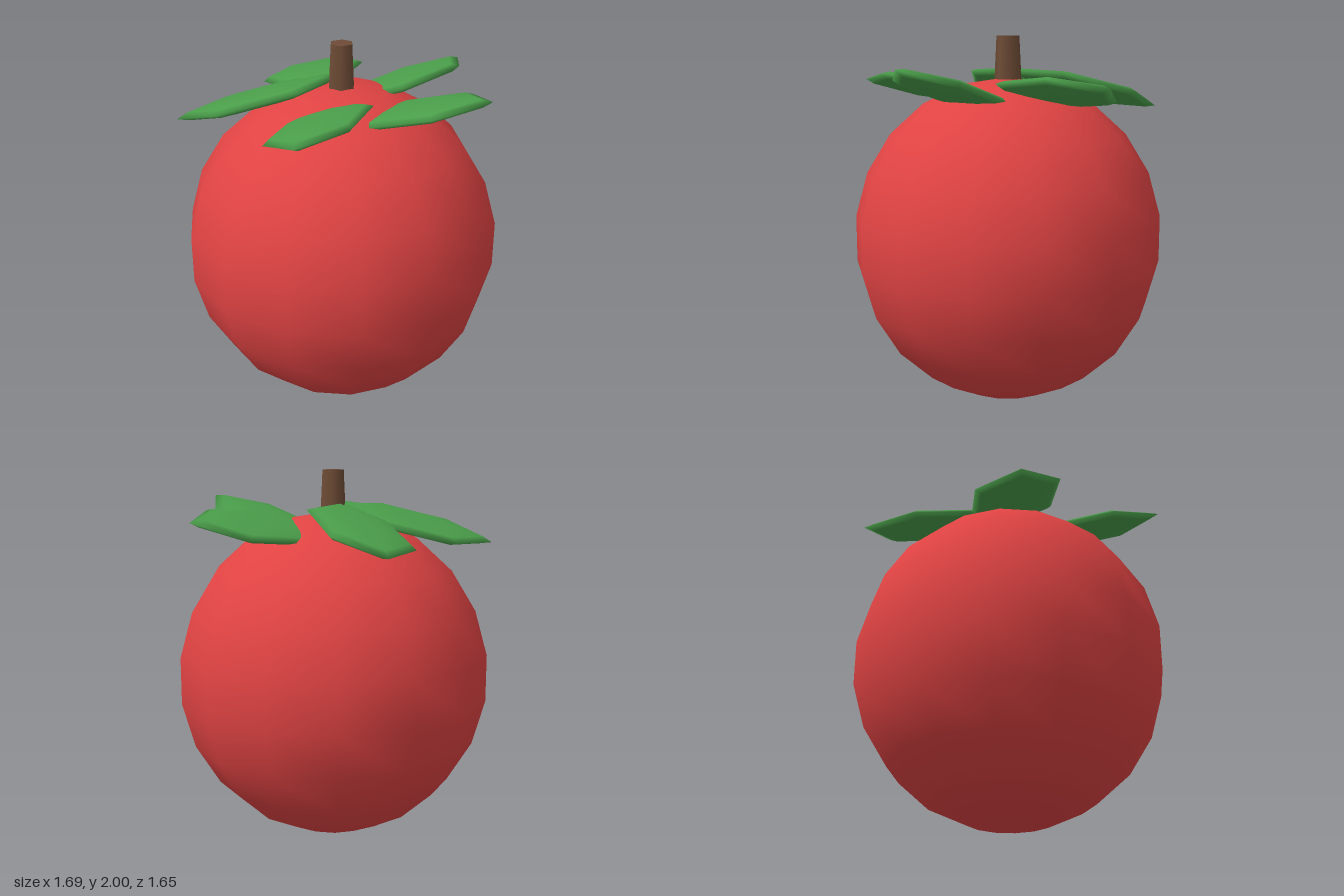
import * as THREE from 'three';

const CENTRE_X = -0.01;

function material(name, color) {
  const m = new THREE.MeshStandardMaterial({ color });
  m.name = name;
  return m;
}

export function createModel() {
  const group = new THREE.Group();
  group.name = 'fruit';
  const red = material('fruit red', 0xe04343);
  const green = material('leaf green', 0x4b9f4b);
  const brown = material('stem brown', 0x6e4c36);

  // Fruit body: smooth, slightly tall ball
  const body = new THREE.Mesh(new THREE.SphereGeometry(0.849, 14, 11), red);
  body.name = 'body';
  body.scale.set(1, 0.887 / 0.849, 0.98 / 0.98);
  body.position.set(CENTRE_X, 0.892, 0);
  group.add(body);

  // Tapered six-sided stem with corners on the x axis
  const stem = new THREE.Mesh(new THREE.CylinderGeometry(0.062, 0.077, 0.3, 6), brown);
  stem.name = 'stem';
  stem.rotation.y = Math.PI / 2;
  stem.position.set(CENTRE_X, 1.85, 0);
  group.add(stem);

  // Five flattened six-sided leaves in a ring, all tipped the same way
  const leafShape = new THREE.SphereGeometry(0.43, 6, 6);
  leafShape.scale(1, 0.095, 0.61);
  for (let i = 0; i < 5; i++) {
    const a = (i * Math.PI * 2) / 5;
    const leaf = new THREE.Mesh(leafShape, green);
    leaf.name = 'leaf' + (i + 1);
    leaf.position.set(CENTRE_X + 0.44 * Math.cos(a), 1.715, -0.44 * Math.sin(a));
    leaf.rotation.set(0, a, 0.3, 'ZYX');
    group.add(leaf);
  }
  return group;
}
